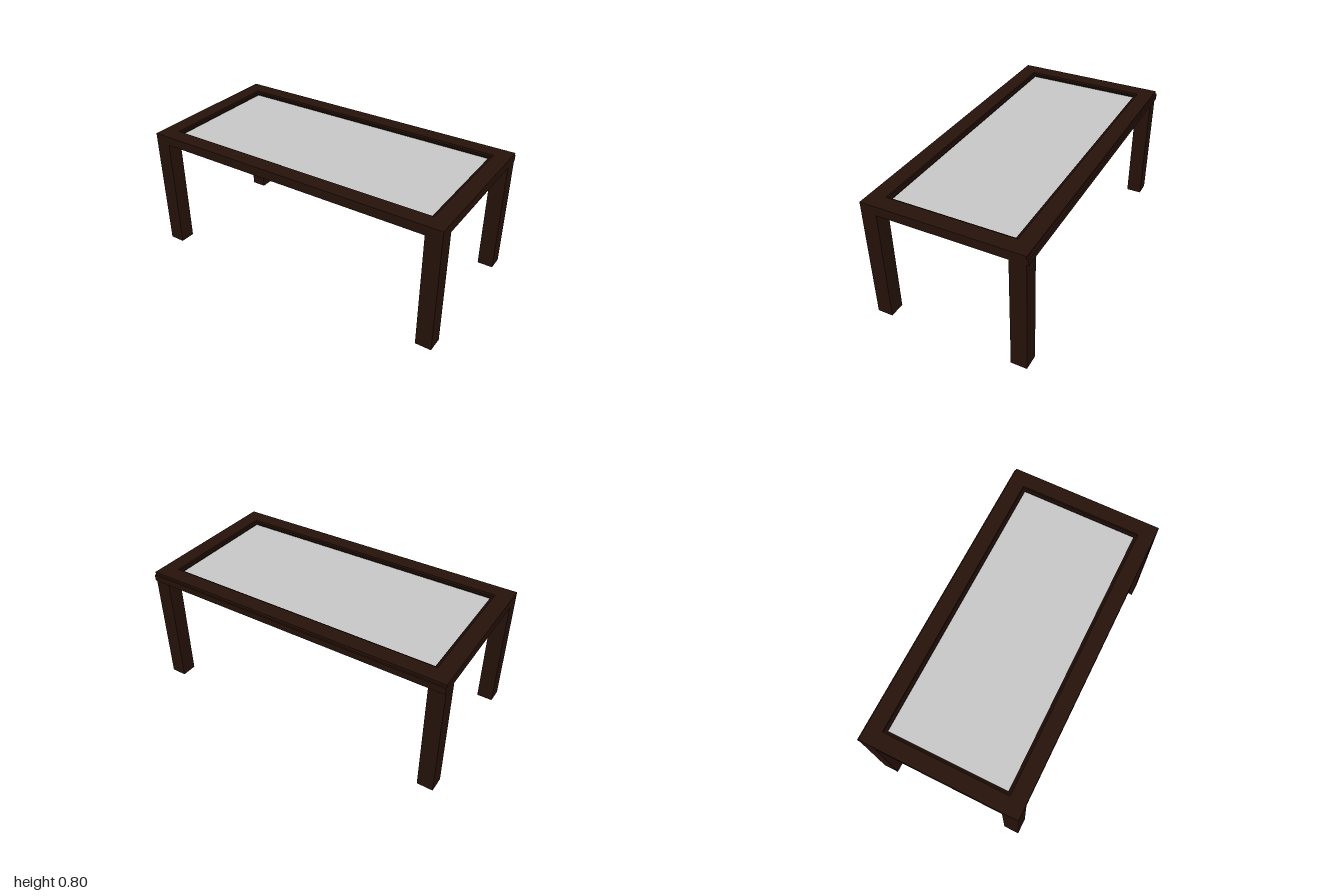
import * as THREE from 'three';

const wood = new THREE.MeshStandardMaterial({ color: 0x27120a });
const darkWood = new THREE.MeshStandardMaterial({ color: 0x1a0c06 });
const grey = new THREE.MeshStandardMaterial({ color: 0xcccccc });

const TOP = 0.8, RAIL_BOTTOM = 0.742, WIDTH = 0.1;
const MID_Z = 0.005; // the frame sits slightly forward of the back strip

function box(name, w, h, d, x, y, z, material) {
  const mesh = new THREE.Mesh(new THREE.BoxGeometry(w, h, d), material);
  mesh.name = name;
  mesh.position.set(x, y, z);
  return mesh;
}

// Rectangular ring lying flat between two heights
function ring(name, halfX, halfZ, border, bottom, top, material) {
  const rect = (target, a, b) => target.moveTo(-a, -b).lineTo(a, -b).lineTo(a, b).lineTo(-a, b).closePath();
  const shape = rect(new THREE.Shape(), halfX, halfZ);
  shape.holes.push(rect(new THREE.Path(), halfX - border, halfZ - border));
  const geometry = new THREE.ExtrudeGeometry(shape, { depth: top - bottom, bevelEnabled: false });
  geometry.rotateX(-Math.PI / 2);
  const mesh = new THREE.Mesh(geometry, material);
  mesh.name = name;
  mesh.position.set(0, bottom, MID_Z);
  return mesh;
}

export function createModel() {
  const table = new THREE.Group();
  table.name = 'table';

  // Top frame, with a panel filling it flush below and a lip over the panel's edge
  table.add(ring('topFrame', 1, 0.5, WIDTH, RAIL_BOTTOM, TOP, wood));
  table.add(box('topPanel', 1.8, 0.036, 0.8, 0, RAIL_BOTTOM + 0.019, MID_Z, grey));
  table.add(ring('innerLip', 0.9, 0.4, 0.02, 0.779, 0.786, darkWood));

  // Four square legs
  for (const [side, sx] of [['Left', 1], ['Right', -1]]) {
    for (const [end, sz] of [['front', 1], ['back', -1]]) {
      table.add(box(`${end}${side}Leg`, WIDTH, RAIL_BOTTOM, WIDTH,
        sx * 0.95, RAIL_BOTTOM / 2, MID_Z + sz * 0.45, wood));
    }
  }

  // Raised strip along the back rail
  table.add(box('backStrip', 2, 0.04, 0.01, 0, 0.763, -0.5, wood));

  return table;
}
